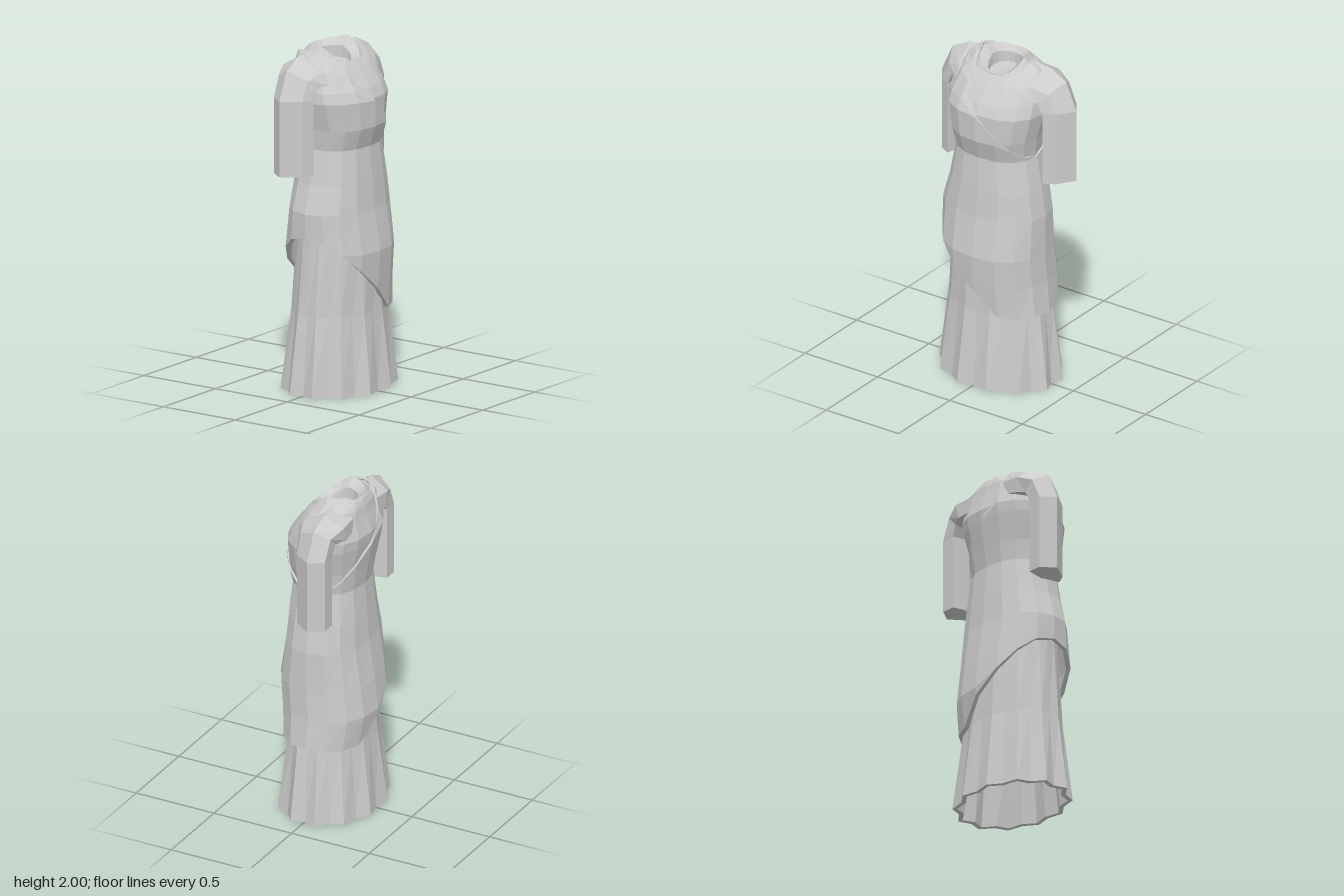
import * as THREE from 'three';

const material = new THREE.MeshStandardMaterial({ color: 0xcccccc, flatShading: true, side: THREE.DoubleSide });
const N = 16;

// Skin a stack of closed rings (arrays of [x, y, z]), counter-clockwise seen from above.
function loft(name, rings) {
  const n = rings[0].length, index = [];
  for (let i = 0; i < rings.length - 1; i++) {
    for (let j = 0; j < n; j++) {
      const k = (j + 1) % n;
      const a = i * n + j, b = i * n + k, c = (i + 1) * n + k, d = (i + 1) * n + j;
      index.push(a, b, c, a, c, d);
    }
  }
  const geo = new THREE.BufferGeometry();
  geo.setAttribute('position', new THREE.Float32BufferAttribute(rings.flat(2), 3));
  geo.setIndex(index);
  geo.computeVertexNormals();
  const mesh = new THREE.Mesh(geo, material);
  mesh.name = name;
  return mesh;
}

const columns = (n, fn) => Array.from({ length: n }, (_, j) => fn((j / n) * Math.PI * 2, j));
const pow = (v, e) => Math.sign(v) * Math.abs(v) ** e;

// Point of a rounded section; y may differ at the front, sides and back.
function sectionPoint(t, rx, zf, zb, yF, yS = yF, yB = yF, e = 0.87) {
  const s = Math.sin(t), c = Math.cos(t), mid = (zf + zb) / 2;
  const y = yS + ((c > 0 ? yF : yB) - yS) * Math.abs(c);
  return [rx * pow(s, e), y, mid + ((zf - zb) / 2) * pow(c, e)];
}

// Figure profile: y, left half width, right half width, front z, back z
const profile = [
  [0.455, 0.322, 0.322, 0.242, -0.24],
  [0.64, 0.305, 0.322, 0.26, -0.272],
  [0.82, 0.3, 0.328, 0.272, -0.25],
  [1.06, 0.3, 0.33, 0.232, -0.212],
  [1.22, 0.278, 0.282, 0.22, -0.202],
  [1.42, 0.24, 0.245, 0.2, -0.185],
  [1.54, 0.258, 0.258, 0.24, -0.205],
  [1.7, 0.298, 0.298, 0.24, -0.235],
  [1.76, 0.295, 0.295, 0.212, -0.243],
  [1.87, 0.265, 0.265, 0.13, -0.208],
  [1.96, 0.21, 0.21, 0.03, -0.185],
];

function figurePoint(t, y, out = 0) {
  let i = 0;
  while (i < profile.length - 2 && y > profile[i + 1][0]) i++;
  const [p, q] = [profile[i], profile[i + 1]];
  const f = THREE.MathUtils.clamp((y - p[0]) / (q[0] - p[0]), 0, 1);
  const [, l, r, zf, zb] = p.map((v, k) => v + (q[k] - v) * f);
  return sectionPoint(t, (Math.sin(t) < 0 ? r : l) + out, zf + out, zb - out, y);
}

// Bodice, rising over the shoulders into a tilted collar and closed inside the neck
function bodice() {
  const rings = profile.filter((p) => p[0] >= 1.42 && p[0] < 1.8)
    .map((p) => columns(N, (t) => figurePoint(t, p[0])));
  const collar = [
    [0.275, 0.14, -0.212, 1.855, 1.89, 1.87],
    [0.235, 0.122, -0.202, 1.875, 1.945, 1.92],
    [0.165, 0.11, -0.188, 1.89, 1.965, 1.955],
    [0.14, 0.1, -0.175, 1.9, 2.0, 1.97],
    [0.09, 0.06, -0.14, 1.885, 1.95, 1.94],
    [0.085, 0.05, -0.135, 1.87, 1.88, 1.88],
    [0, -0.04, -0.04, 1.87, 1.87, 1.87],
  ].map((c) => columns(N, (t) => sectionPoint(t, ...c)));
  return loft('bodice', [...rings, ...collar]);
}

// Wrapped cloth: slanting hem below, and a top edge from right shoulder to left waist
function drape() {
  const hem = (s) => Math.max(0.455, 0.6 - (s < 0 ? 0.32 : 0.38) * s);
  const top = (s) => (s < -0.65 ? 1.96 : 1.69 - (s < 0 ? 0.4 : 0.27) * s);
  const layer = (out) => profile.map(([y]) => columns(N, (t) => {
    const s = Math.sin(t);
    return figurePoint(t, THREE.MathUtils.clamp(y, hem(s), top(s)), out);
  }));
  const outer = layer(0.013), inner = layer(-0.012).reverse();
  return loft('drape', [...outer, ...inner, outer[0]]);
}

// Fluted underskirt with a thick wall
function underskirt() {
  const ring = (y, rx, zf, zb, depth, wall) => columns(24, (t, j) => {
    const k = (j % 2 ? 1 : 1 - depth) - wall;
    return sectionPoint(t, rx * k, zf * k, zb * k, y, y, y, 1);
  });
  const shape = [
    [0, 0.385, 0.3, -0.3, 0.1],
    [0.46, 0.325, 0.245, -0.24, 0.05],
    [0.95, 0.285, 0.225, -0.21, 0],
  ];
  const outer = shape.map((s) => ring(...s, 0));
  const inner = shape.map((s) => ring(...s, 0.08)).reverse();
  return loft('underskirt', [...outer, ...inner, outer[0]]);
}

// Six-sided sleeve bending over the shoulder into the bodice
function sleeve(side) {
  const hex = [[-0.055, 0.06], [0.01, 0.025], [0.082, -0.08], [0.022, -0.162], [-0.06, -0.162], [-0.083, -0.06]];
  // centre x, centre y, tilt, size, depth
  const path = [
    [0.383, 1.29, 0, 0, 0],
    [0.383, 1.29, 0, 1, 1],
    [0.383, 1.73, 0, 1, 1],
    [0.335, 1.835, 0.8, 1, 1.05],
    [0.25, 1.865, 1.25, 1.1, 1.4],
    [0.14, 1.875, 1.5, 1.05, 1.35],
  ];
  const rings = path.map(([cx, cy, tilt, size, depth]) => {
    const pts = hex.map(([d, z]) => [
      side * (cx + d * size * Math.cos(tilt)),
      cy + d * size * Math.sin(tilt),
      -0.06 + (z + 0.06) * depth,
    ]);
    return side < 0 ? pts.reverse() : pts;
  });
  return loft(side > 0 ? 'leftSleeve' : 'rightSleeve', rings);
}

export function createModel() {
  const group = new THREE.Group();
  group.name = 'drapedDress';
  group.add(underskirt(), drape(), bodice(), sleeve(1), sleeve(-1));
  return group;
}
